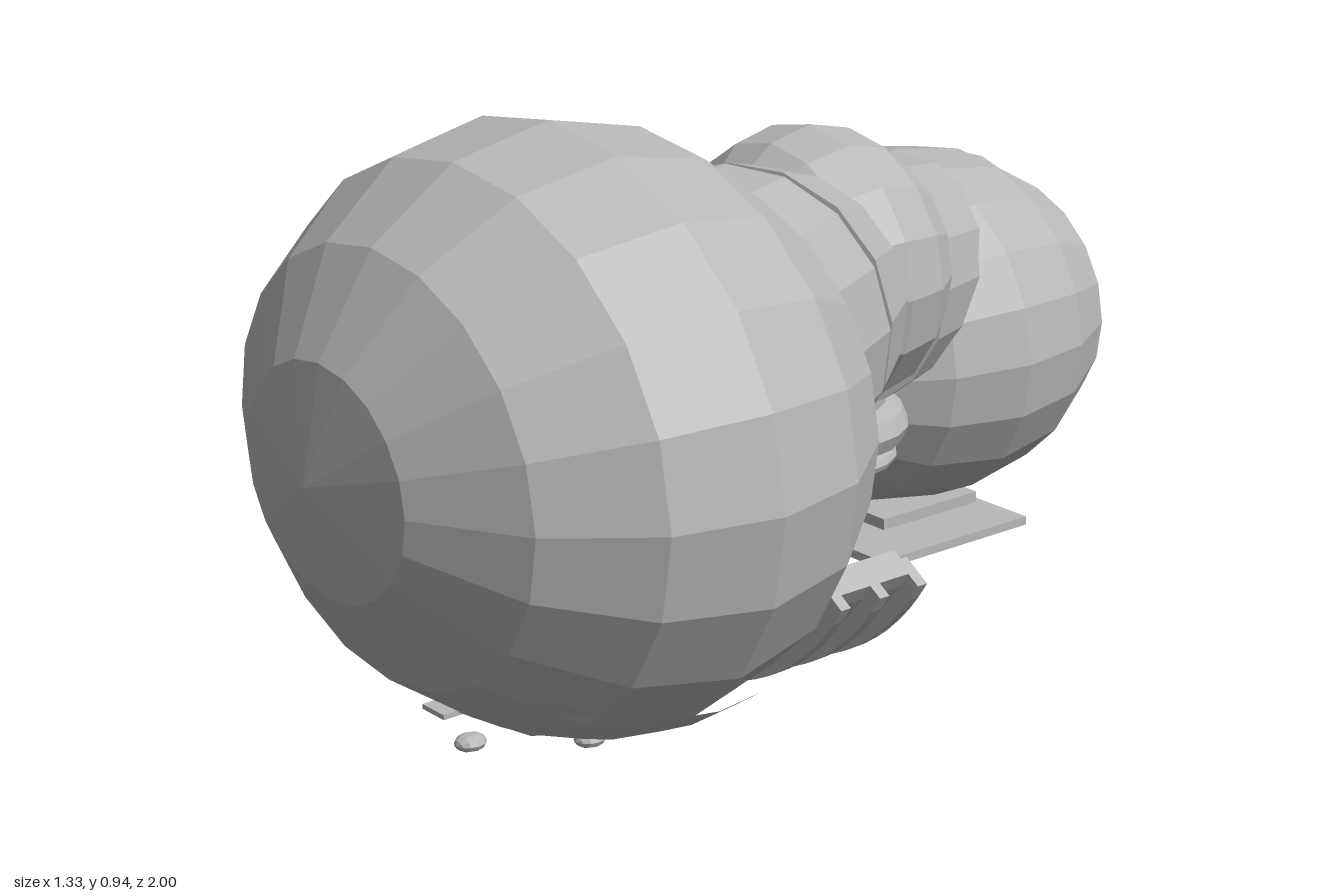
import * as THREE from 'three';

const grey = new THREE.MeshStandardMaterial({ color: 0xb8b8b8, flatShading: true });
grey.name = 'grey';

const V = (p) => new THREE.Vector3(...p);

function add(parent, name, geometry, position = [0, 0, 0]) {
  const mesh = new THREE.Mesh(geometry, grey);
  mesh.name = name;
  mesh.position.set(...position);
  parent.add(mesh);
  return mesh;
}

// Faceted ellipsoid whose poles point along z; the ranges cut out a patch
function blob(parent, name, centre, radii, sides = 20, rings = 8, ranges = []) {
  const g = new THREE.SphereGeometry(1, sides, rings, ...ranges).rotateX(Math.PI / 2).scale(...radii);
  return add(parent, name, g, centre);
}

// Tapered round bar between two points
function bar(parent, name, a, b, ra, rb = ra, sides = 16) {
  const from = V(a), to = V(b), dir = to.clone().sub(from);
  const mesh = add(parent, name, new THREE.CylinderGeometry(rb, ra, dir.length(), sides));
  mesh.position.copy(from).addScaledVector(dir, 0.5);
  mesh.quaternion.setFromUnitVectors(new THREE.Vector3(0, 1, 0), dir.normalize());
  return mesh;
}

function box(parent, name, centre, size) {
  return add(parent, name, new THREE.BoxGeometry(...size), centre);
}

// Curved strap section in the xy plane, running in z from z0 to z1
function strap(parent, name, rIn, rOut, start, end, z0, z1) {
  const s = new THREE.Shape();
  s.absarc(0, 0, rOut, start, end, false);
  s.absarc(0, 0, rIn, end, start, true);
  const g = new THREE.ExtrudeGeometry(s, { depth: z1 - z0, bevelEnabled: false, curveSegments: 10 });
  return add(parent, name, g, [0.21, 0.55, z0]);
}

// Stacked square plate with small pads underneath
function basePlate(parent, name, x, y, z) {
  const g = new THREE.Group();
  g.name = name;
  g.position.set(x, y, z);
  box(g, 'plate', [0, 0, 0], [0.35, 0.014, 0.31]);
  box(g, 'plateStep', [0, -0.011, 0], [0.31, 0.01, 0.27]);
  box(g, 'lowerPanel', [0, -0.022, 0], [0.13, 0.012, 0.2]);
  box(g, 'centrePad', [0, -0.04, -0.03], [0.065, 0.007, 0.07]);
  for (const s of [-1, 1]) box(g, 'sidePad', [s * 0.1, -0.035, -0.03], [0.015, 0.006, 0.05]);
  parent.add(g);
}

export function createModel() {
  const model = new THREE.Group();
  model.name = 'segmentedArm';

  // Main chain of lumps and limbs
  blob(model, 'shoulder', [0.21, 0.548, 0.622], [0.457, 0.396, 0.375]);
  bar(model, 'upperArm', [0.13, 0.548, 0.385], [0.018, 0.545, 0.165], 0.242, 0.231);
  bar(model, 'upperArmEnd', [0.018, 0.545, 0.165], [-0.065, 0.533, 0.015], 0.231, 0.195);
  blob(model, 'elbow', [-0.12, 0.55, -0.088], [0.227, 0.219, 0.195], 16);
  bar(model, 'forearmCore', [-0.13, 0.51, -0.13], [-0.37, 0.44, -0.6], 0.19, 0.16);
  bar(model, 'wrist', [-0.39, 0.41, -0.6], [-0.475, 0.345, -0.74], 0.115, 0.095);
  blob(model, 'forearm', [-0.305, 0.36, -0.425], [0.312, 0.284, 0.349]);

  // Hand made of two stacked balls
  blob(model, 'handTop', [-0.512, 0.316, -0.822], [0.153, 0.084, 0.142], 16);
  blob(model, 'palm', [-0.514, 0.245, -0.85], [0.152, 0.1, 0.15], 16);

  // Curled fingers
  for (let i = 0; i < 4; i++) {
    const z = -0.735 - i * 0.059;
    const finger = new THREE.Group();
    finger.name = 'finger';
    const joint = [-0.575, 0.1, z], tip = [-0.43, 0.1, z];
    bar(finger, 'fingerBase', [-0.61, 0.21, z], joint, 0.027, 0.026, 8);
    blob(finger, 'knuckle', joint, [0.026, 0.026, 0.026], 8, 6);
    bar(finger, 'fingerEnd', joint, tip, 0.024, 0.022, 8);
    model.add(finger);
  }

  // Small pegs on the forearm
  bar(model, 'sidePeg', [-0.638, 0.415, -0.53], [-0.5, 0.49, -0.44], 0.043, 0.043, 12);
  bar(model, 'topPeg', [-0.45, 0.55, -0.29], [-0.33, 0.605, -0.11], 0.037, 0.037, 12);

  // Rings under the elbow
  for (const [r, tube, y] of [[0.125, 0.034, 0.32], [0.13, 0.012, 0.272]]) {
    const g = new THREE.TorusGeometry(r, tube, 8, 20).rotateX(Math.PI / 2).scale(1.1, 1, 0.95);
    add(model, 'elbowRing', g, [-0.13, y, -0.078]);
  }

  // Ribbed strap around the lower shoulder
  const a0 = -Math.PI * 0.65, a1 = -Math.PI * 0.18;
  strap(model, 'strapPanel', 0.33, 0.37, a0, a1, 0.29, 0.41);
  for (const z of [0.28, 0.345, 0.41]) strap(model, 'strapRib', 0.345, 0.392, a0, a1, z, z + 0.016);

  // Curved shell, studs and pad beneath the shoulder
  blob(model, 'shoulderShell', [0.21, 0.548, 0.6], [0.466, 0.402, 0.385], 8, 6, [1.1, 1.2, 0.95, 1.2]);
  for (const [x, z] of [[0.19, 0.755], [0.28, 0.63], [0.005, 0.46]]) {
    blob(model, 'stud', [x, 0.138, z], [0.02, 0.012, 0.022], 10, 6);
  }
  box(model, 'shoulderPad', [0.06, 0.128, 0.7], [0.05, 0.007, 0.05]);

  // Base plates and their supports
  basePlate(model, 'forearmBase', -0.285, 0.047, -0.38);
  box(model, 'forearmNeck', [-0.31, 0.074, -0.4], [0.24, 0.018, 0.2]);
  basePlate(model, 'upperArmBase', 0.065, 0.15, 0.27);
  for (const x of [0, 0.07, 0.14]) {
    bar(model, 'strut', [x - 0.03, 0.34, 0.11], [x + 0.04, 0.165, 0.26], 0.018, 0.018, 8);
  }
  bar(model, 'crossBar', [-0.04, 0.24, 0.2], [0.2, 0.245, 0.22], 0.03, 0.03, 10);

  return model;
}
